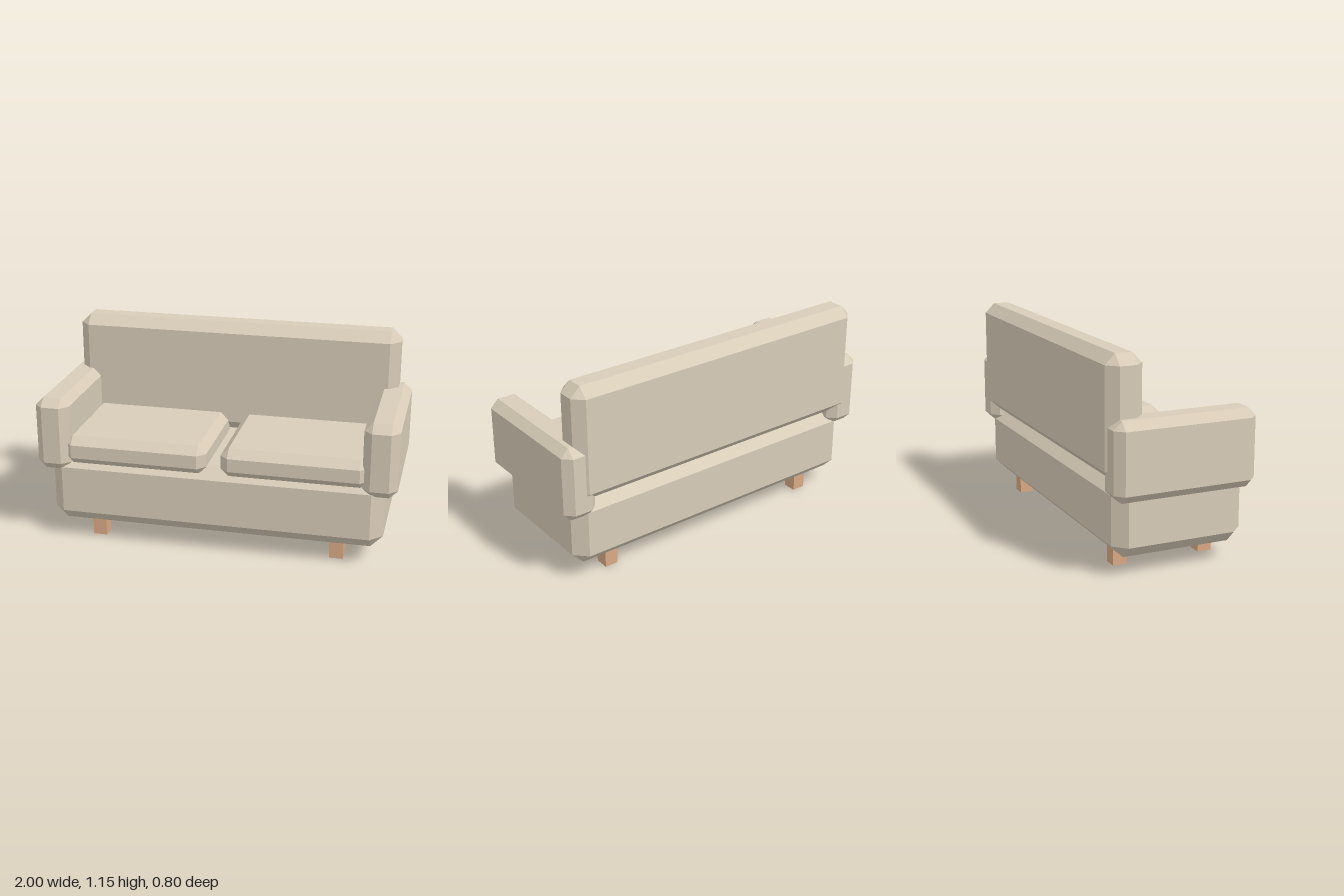
import * as THREE from 'three';
import { ConvexGeometry } from 'three/addons/geometries/ConvexGeometry.js';

// Box with flat chamfered edges and triangular corners, from min/max extents
function chamferBox([x0, x1], [y0, y1], [z0, z1], bevel) {
  const a = (x1 - x0) / 2, b = (y1 - y0) / 2, c = (z1 - z0) / 2;
  const points = [];
  for (const sx of [-1, 1]) for (const sy of [-1, 1]) for (const sz of [-1, 1]) {
    points.push(
      new THREE.Vector3(sx * a, sy * (b - bevel), sz * (c - bevel)),
      new THREE.Vector3(sx * (a - bevel), sy * b, sz * (c - bevel)),
      new THREE.Vector3(sx * (a - bevel), sy * (b - bevel), sz * c)
    );
  }
  return new ConvexGeometry(points).translate((x0 + x1) / 2, (y0 + y1) / 2, (z0 + z1) / 2);
}

export function createModel() {
  const sofa = new THREE.Group();
  sofa.name = 'sofa';

  const fabric = new THREE.MeshStandardMaterial({ color: 0xd8ccb8 });
  fabric.name = 'beige fabric';
  const wood = new THREE.MeshStandardMaterial({ color: 0xd9a985 });
  wood.name = 'light wood';

  const add = (name, geometry, material) => {
    const mesh = new THREE.Mesh(geometry, material);
    mesh.name = name;
    sofa.add(mesh);
  };

  // Base and backrest
  add('base', chamferBox([-0.93, 0.93], [0.1, 0.497], [-0.36, 0.373], 0.067), fabric);
  add('backrest', chamferBox([-0.93, 0.93], [0.505, 1.147], [-0.4, -0.2], 0.055), fabric);

  // Mirrored arms, cushions and legs
  for (const [side, s] of [['left', 1], ['right', -1]]) {
    const span = (inner, outer) => (s > 0 ? [inner, outer] : [-outer, -inner]);
    add(side + 'Arm', chamferBox(span(0.81, 1), [0.415, 0.83], [-0.39, 0.4], 0.045), fabric);
    add(side + 'Cushion', chamferBox(span(0.04, 0.845), [0.45, 0.615], [-0.28, 0.385], 0.045), fabric);

    for (const [end, z] of [['Front', 0.255], ['Back', -0.241]]) {
      const leg = new THREE.BoxGeometry(0.077, 0.1, 0.079).translate(s * 0.678, 0.05, z);
      add(side + end + 'Leg', leg, wood);
    }
  }
  return sofa;
}
